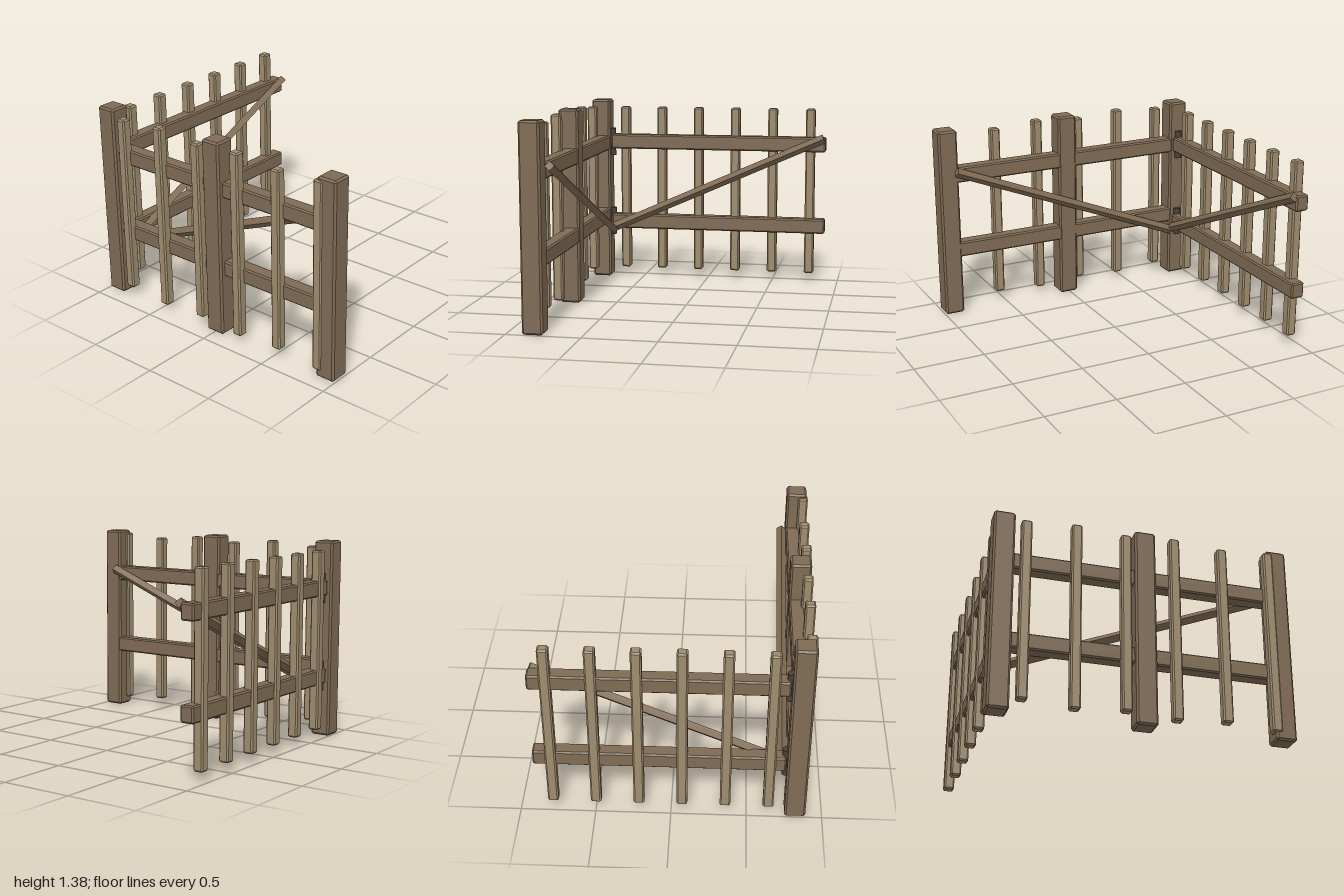
import * as THREE from 'three';
import { ConvexGeometry } from 'three/addons/geometries/ConvexGeometry.js';

const darkWood = new THREE.MeshStandardMaterial({ color: 0x7f6b54 });
darkWood.name = 'darkWood';
const paleWood = new THREE.MeshStandardMaterial({ color: 0x9e8c6e });
paleWood.name = 'paleWood';
const iron = new THREE.MeshStandardMaterial({ color: 0x4a423a });
iron.name = 'iron';

// Box with chamfered edges: three points around every corner
function chamferBox(w, h, d, c) {
  const points = [];
  for (const x of [-w / 2, w / 2]) for (const y of [-h / 2, h / 2]) for (const z of [-d / 2, d / 2]) {
    const inX = x - Math.sign(x) * c, inY = y - Math.sign(y) * c, inZ = z - Math.sign(z) * c;
    points.push(
      new THREE.Vector3(x, inY, inZ),
      new THREE.Vector3(inX, y, inZ),
      new THREE.Vector3(inX, inY, z)
    );
  }
  return new ConvexGeometry(points);
}

// Timber filling the given ranges
function timber(parent, name, material, [x0, x1], [y0, y1], [z0, z1], c = 0.01) {
  const mesh = new THREE.Mesh(chamferBox(x1 - x0, y1 - y0, z1 - z0, c), material);
  mesh.name = name;
  mesh.position.set((x0 + x1) / 2, (y0 + y1) / 2, (z0 + z1) / 2);
  parent.add(mesh);
}

// Square bar from a to b, standing on its edge
function brace(parent, name, a, b) {
  const start = new THREE.Vector3(...a), end = new THREE.Vector3(...b);
  const geometry = new THREE.BoxGeometry(0.048, 0.048, start.distanceTo(end));
  geometry.rotateZ(Math.PI / 4);
  const mesh = new THREE.Mesh(geometry, darkWood);
  mesh.name = name;
  mesh.position.copy(start).add(end).multiplyScalar(0.5);
  mesh.lookAt(end);
  parent.add(mesh);
}

export function createModel() {
  const model = new THREE.Group();
  model.name = 'fenceWithOpenGate';

  // Fixed fence along the front
  const fence = new THREE.Group();
  fence.name = 'fence';
  model.add(fence);
  for (const x of [-0.93, 0.005, 0.925]) {
    timber(fence, 'post', darkWood, [x - 0.07, x + 0.07], [0, 1.375], [0.752, 0.892], 0.013);
  }
  for (const y of [0.43, 0.99]) {
    timber(fence, 'fenceRail', darkWood, [-0.9, 0.9], [y, y + 0.11], [0.755, 0.855]);
  }
  for (let i = 0; i < 6; i++) {
    const x = -0.785 + i * 0.33;
    const shift = i % 2 ? 0.012 : -0.012; // alternate tall and short
    timber(fence, 'fencePicket', paleWood, [x - 0.034, x + 0.034], [0.063 - shift, 1.34 + shift], [0.832, 0.9]);
  }
  brace(fence, 'fenceBrace', [-0.86, 0.372, 0.722], [0.88, 1.08, 0.722]);

  // Gate swung open toward the back
  const gate = new THREE.Group();
  gate.name = 'gate';
  model.add(gate);
  for (const y of [0.38, 1.0]) {
    timber(gate, 'gateRail', darkWood, [-0.975, -0.878], [y, y + 0.11], [-0.9, 0.745]);
  }
  for (let i = 0; i < 6; i++) {
    const z = 0.643 - i * 0.285;
    timber(gate, 'gatePicket', paleWood, [-0.987, -0.917], [0.066, 1.32], [z - 0.035, z + 0.035]);
  }
  brace(gate, 'gateBrace', [-0.866, 0.385, 0.735], [-0.866, 1.105, -0.888]);

  // Hinge pins between gate and corner post
  for (const y of [0.43, 1.05]) {
    const hinge = new THREE.Mesh(new THREE.CylinderGeometry(0.026, 0.026, 0.21, 12), iron);
    hinge.name = 'hinge';
    hinge.position.set(-0.927, y, 0.745);
    gate.add(hinge);
  }
  return model;
}
